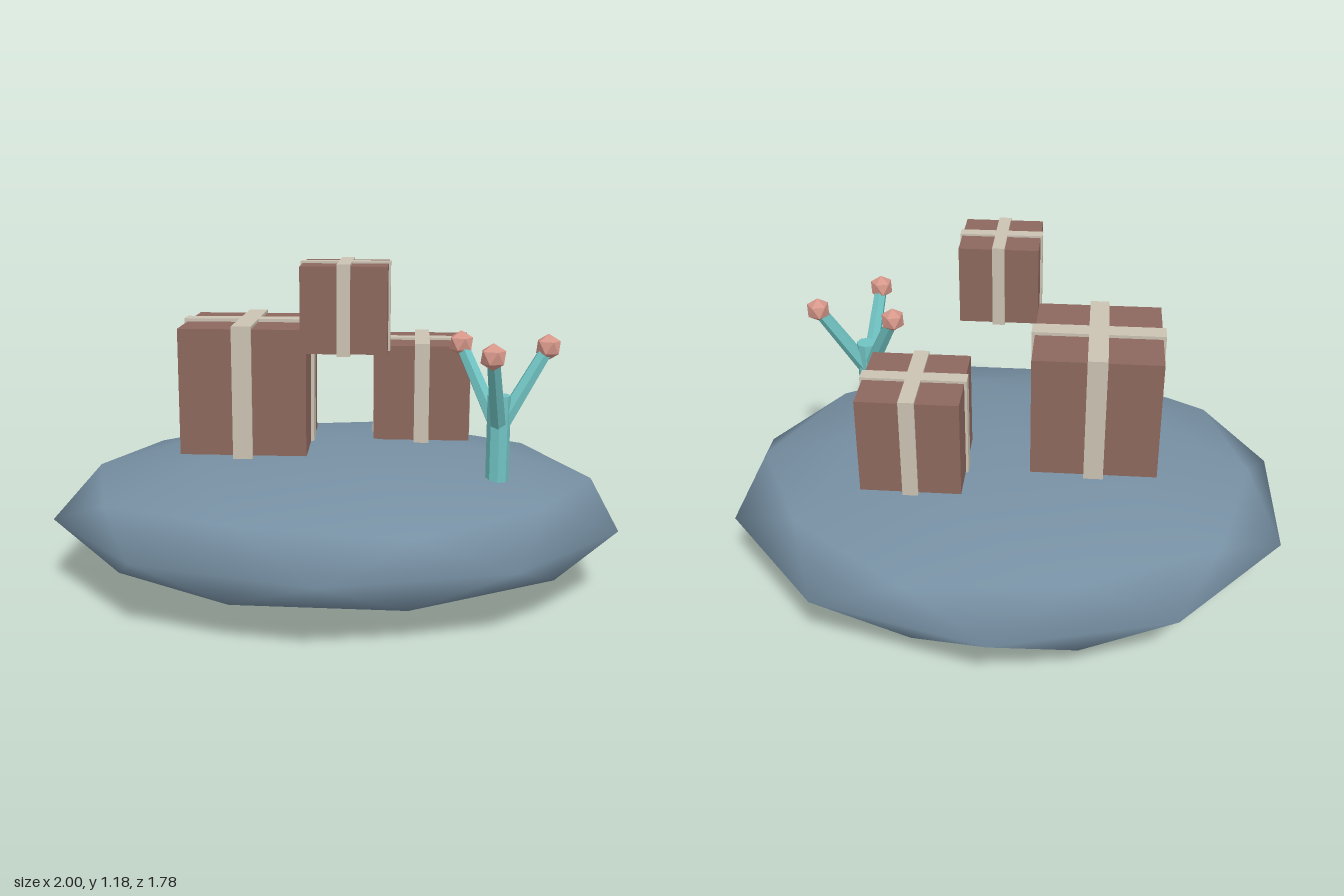
import * as THREE from 'three';

const mat = (name, color, flatShading = false) => {
  const m = new THREE.MeshStandardMaterial({ color, flatShading });
  m.name = name;
  return m;
};

const stone = mat('slate blue', 0x768fa2);
const card = mat('box brown', 0x8d685e);
const ribbon = mat('ribbon cream', 0xcac2b2);
const teal = mat('stem teal', 0x70c2c2, true);
const pink = mat('tip pink', 0xd6978a, true);

function add(parent, name, geometry, material, x = 0, y = 0, z = 0) {
  const mesh = new THREE.Mesh(geometry, material);
  mesh.name = name;
  mesh.position.set(x, y, z);
  parent.add(mesh);
  return mesh;
}

// Icosphere turned so that one corner points straight up
function icosphere(radius, detail) {
  return new THREE.IcosahedronGeometry(radius, detail)
    .rotateZ(-Math.atan(2 / (1 + Math.sqrt(5))));
}

// Cube wrapped by two crossing ribbon bands
function parcel(name, size, x, y, z) {
  const group = new THREE.Group();
  group.name = name;
  group.position.set(x, y, z);
  const outer = size * 1.05, width = size * 0.155;
  add(group, 'box', new THREE.BoxGeometry(size, size, size), card);
  add(group, 'ribbonLengthwise', new THREE.BoxGeometry(width, outer, outer), ribbon);
  add(group, 'ribbonCrosswise', new THREE.BoxGeometry(outer, outer, width), ribbon);
  return group;
}

// Stem with three slanting branches, each ending in a bud
function branchingPlant(x, y, z) {
  const group = new THREE.Group();
  group.name = 'branchingPlant';
  group.position.set(x, y, z);
  add(group, 'stem', new THREE.CylinderGeometry(0.04, 0.04, 0.3, 8), teal, 0, 0.15, 0);
  const up = new THREE.Vector3(0, 1, 0);
  for (let i = 0; i < 3; i++) {
    const a = THREE.MathUtils.degToRad(-18 + i * 120);
    const start = new THREE.Vector3(0, 0.18, 0);
    const end = new THREE.Vector3(Math.cos(a) * 0.174, 0.46, Math.sin(a) * 0.174);
    const dir = end.clone().sub(start);
    const mid = start.clone().add(end).multiplyScalar(0.5);
    const branch = add(group, 'branch', new THREE.CylinderGeometry(0.024, 0.03, dir.length(), 6), teal, mid.x, mid.y, mid.z);
    branch.quaternion.setFromUnitVectors(up, dir.normalize());
    add(group, 'bud', icosphere(0.046, 0), pink, end.x, end.y, end.z);
  }
  return group;
}

export function createModel() {
  const model = new THREE.Group();
  model.name = 'parcelIsland';

  // Flattened rounded base
  add(model, 'island', icosphere(1, 1).scale(1.051, 0.253, 0.89), stone, 0, 0.256, 0);

  model.add(
    parcel('largeParcel', 0.45, -0.317, 0.717, -0.003),
    parcel('mediumParcel', 0.354, 0.313, 0.672, -0.214),
    parcel('smallFloatingParcel', 0.286, 0.052, 1.037, 0.293),
    branchingPlant(0.576, 0.43, 0.262),
  );
  return model;
}
